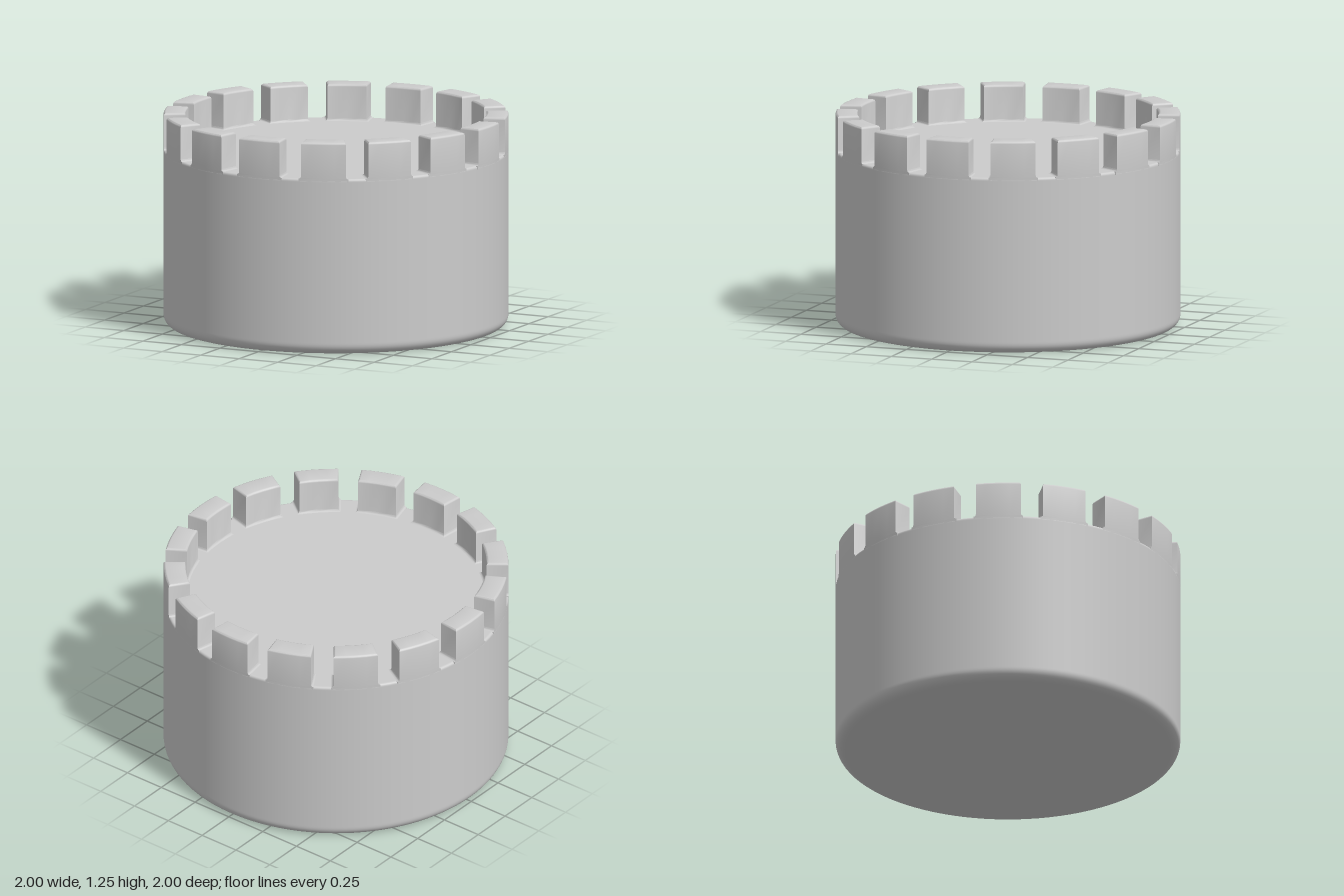
import * as THREE from 'three';
import { toCreasedNormals } from 'three/addons/utils/BufferGeometryUtils.js';

const FLOOR = 1.035, TOP = 1.25, INNER = 0.873;
const EDGE = 0.014;                          // small edge rounding
const HALF = THREE.MathUtils.degToRad(7.5);  // half the width of a merlon
const COUNT = 16;

// Solid drum with a rounded foot and a softened upper rim
function drumGeometry() {
  const p = [[0, 0], [0.5, 0], [0.93, 0]];
  const arc = (cx, cy, r, from, steps) => {
    for (let i = 0; i <= steps; i++) {
      const a = from + (i / steps) * Math.PI / 2;
      p.push([cx + r * Math.cos(a), cy + r * Math.sin(a)]);
    }
  };
  arc(0.94, 0.06, 0.06, -Math.PI / 2, 8);
  p.push([1, 0.07], [1, FLOOR - EDGE - 0.005]);
  arc(1 - EDGE, FLOOR - EDGE, EDGE, 0, 4);
  p.push([0.98, FLOOR], [0.5, FLOOR], [0, FLOOR]);
  return new THREE.LatheGeometry(p.map(([x, y]) => new THREE.Vector2(x, y)), 96);
}

// Ring-sector block: filleted into the floor, rounded at its top edges
function merlonGeometry() {
  // Each row is a height and an inset of the sector outline
  const rows = [[FLOOR - 0.02, -EDGE]];
  for (let i = 0; i <= 3; i++) {
    const a = i * Math.PI / 6;
    rows.push([FLOOR + EDGE * (1 - Math.cos(a)), -EDGE * (1 - Math.sin(a))]);
  }
  for (let i = 0; i <= 3; i++) {
    const a = i * Math.PI / 6;
    rows.push([TOP - EDGE + EDGE * Math.sin(a), EDGE * (1 - Math.cos(a))]);
  }
  const n = 5, loop = 2 * n, pos = [], index = [];
  const quad = (a, b, c, d) => index.push(a, b, c, a, c, d);
  for (const [y, inset] of rows) {
    const outer = 1 - Math.max(inset, 0), inner = INNER + inset;
    for (let j = 0; j < loop; j++) {
      const r = j < n ? outer : inner;
      const t = (j < n ? j : loop - 1 - j) / (n - 1) * 2 - 1;
      const phi = t * (HALF - inset / r);
      pos.push(r * Math.sin(phi), y, r * Math.cos(phi));
    }
  }
  for (let i = 0; i < rows.length - 1; i++) {
    for (let j = 0; j < loop; j++) {
      const a = i * loop + j, b = i * loop + (j + 1) % loop;
      quad(a, b, b + loop, a + loop);
    }
  }
  // Top face
  const s = (rows.length - 1) * loop;
  for (let j = 0; j < n - 1; j++) quad(s + j, s + j + 1, s + loop - 2 - j, s + loop - 1 - j);

  const g = new THREE.BufferGeometry();
  g.setAttribute('position', new THREE.Float32BufferAttribute(pos, 3));
  g.setIndex(index);
  return toCreasedNormals(g, 0.65);
}

export function createModel() {
  const group = new THREE.Group();
  group.name = 'crenellatedTower';
  const material = new THREE.MeshStandardMaterial({ color: 0xcccccc });

  const drum = new THREE.Mesh(drumGeometry(), material);
  drum.name = 'drum';
  group.add(drum);

  // Crown of evenly spaced merlons
  const battlement = new THREE.Group();
  battlement.name = 'battlement';
  const block = merlonGeometry();
  for (let i = 0; i < COUNT; i++) {
    const merlon = new THREE.Mesh(block, material);
    merlon.name = `merlon${i + 1}`;
    merlon.rotation.y = (i / COUNT) * Math.PI * 2;
    battlement.add(merlon);
  }
  group.add(battlement);
  return group;
}
